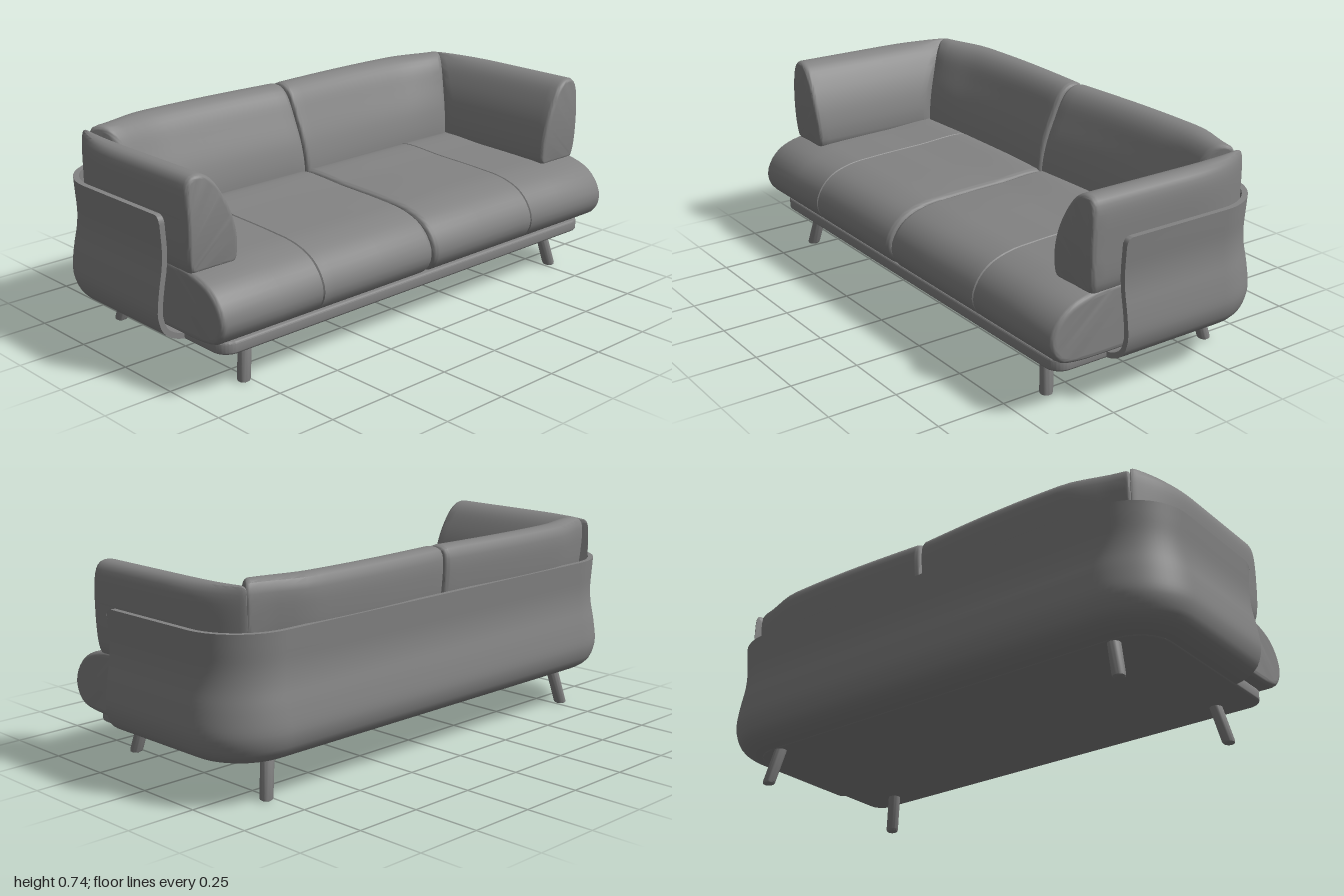
import * as THREE from 'three';
import { toCreasedNormals } from 'three/addons/utils/BufferGeometryUtils.js';

const material = new THREE.MeshStandardMaterial({ color: 0x838383 });
const V = (x, y, z) => new THREE.Vector3(x, y, z);

function part(name, geometry) {
  const mesh = new THREE.Mesh(geometry, material);
  mesh.name = name;
  return mesh;
}

// Skins a list of closed rings and caps both ends; always faces outward
function loft(rings) {
  const n = rings.length, m = rings[0].length, pts = rings.flat(), tri = [];
  const quad = (a, b, c, d) => tri.push([a, b, c], [a, c, d]);
  for (let r = 0; r < n - 1; r++)
    for (let i = 0; i < m; i++) {
      const j = (i + 1) % m;
      quad(r * m + i, r * m + j, (r + 1) * m + j, (r + 1) * m + i);
    }
  const e = (n - 1) * m;
  for (let i = 0; i < m / 2 - 1; i++) {
    quad(i, m - 1 - i, m - 2 - i, i + 1);
    quad(e + i, e + i + 1, e + m - 2 - i, e + m - 1 - i);
  }
  let volume = 0;
  const c = V(0, 0, 0);
  for (const [i, j, k] of tri) volume += pts[i].dot(c.crossVectors(pts[j], pts[k]));
  const g = new THREE.BufferGeometry().setFromPoints(pts);
  g.setIndex(tri.flatMap(t => (volume < 0 ? [t[0], t[2], t[1]] : t)));
  return toCreasedNormals(g, 0.6);
}

// Closed smooth outline with a function that shrinks it by a distance
function outline(points, count = 56) {
  const curve = new THREE.CatmullRomCurve3(points.map(p => V(p[0], p[1], 0)), true, 'centripetal');
  const p = curve.getSpacedPoints(count).slice(0, count);
  const side = Math.sign(THREE.ShapeUtils.area(p));
  return inset => p.map((q, i) => {
    const a = p[(i + count - 1) % count], b = p[(i + 1) % count];
    const dx = b.x - a.x, dy = b.y - a.y, l = Math.hypot(dx, dy) || 1;
    return [q.x - side * inset * dy / l, q.y + side * inset * dx / l];
  });
}

// Stations [position, inset] from a to b with rounded ends and a flat rim on each cap
function stations(a, b, r, steps, depth) {
  const start = [[a, depth + 0.004]], middle = [];
  for (let i = 0; i <= 5; i++) {
    const t = i / 5 * Math.PI / 2;
    start.push([a + r * (1 - Math.cos(t)), depth * (1 - Math.sin(t))]);
  }
  for (let i = 1; i < steps; i++) middle.push([a + r + (b - a - 2 * r) * i / steps, 0]);
  return [...start, ...middle, ...start.map(([p, d]) => [a + b - p, d]).reverse()];
}

// Seat cushion: side outline (z, y) run across x with a fine stitched seam
function seatCushion(s) {
  const shape = outline([[-0.25, 0.22], [-0.25, 0.4], [-0.22, 0.424], [0, 0.42], [0.2, 0.414], [0.31, 0.405], [0.39, 0.378],
    [0.437, 0.335], [0.46, 0.28], [0.452, 0.235], [0.42, 0.198], [0.36, 0.183], [0, 0.183], [-0.23, 0.19]], 72);
  const seam = [[0.516, 0], [0.518, 0.003], [0.52, 0.005], [0.522, 0.003], [0.524, 0]];
  const list = [...stations(0.003, 0.943, 0.022, 4, 0.018), ...seam].sort((a, b) => a[0] - b[0]);
  return loft(list.map(([x, d]) => shape(d).map(([z, y]) => V(s * x, y, z))));
}

// Back cushion: leaning outline (z, y), slightly bowed, mitred at the corner
function backCushion(s) {
  const shape = outline([[-0.215, 0.34], [-0.207, 0.42], [-0.225, 0.52], [-0.265, 0.62], [-0.305, 0.7], [-0.34, 0.73],
    [-0.38, 0.735], [-0.41, 0.722], [-0.419, 0.69], [-0.415, 0.6], [-0.402, 0.5], [-0.39, 0.34], [-0.3, 0.33]]);
  const squeeze = (z, k) => -0.21 + (z + 0.21) * (1 - 0.24 * k);
  return loft(stations(0, 1, 0.024, 18, 0.016).map(([t, d]) => shape(d).map(([z, y]) => {
    const end = 0.77 + (-0.22 - squeeze(z, 1)) / 1.6;
    const bow = 0.018 * Math.sin(Math.PI * t);
    return V(s * (0.003 + t * (end - 0.003)), y, squeeze(z, THREE.MathUtils.smoothstep(t, 0.72, 1)) - bow);
  })));
}

// Arm cushion: outline (x, y) run from front to back, its outer side curving in to the mitre
function armCushion(s) {
  const shape = outline([[0.762, 0.402], [0.752, 0.45], [0.766, 0.54], [0.802, 0.63], [0.85, 0.7], [0.89, 0.721],
    [0.93, 0.717], [0.948, 0.69], [0.953, 0.55], [0.946, 0.42], [0.935, 0.4], [0.85, 0.398]]);
  const narrow = (x, k) => (x > 0.86 ? 0.86 + (x - 0.86) * (1 - 0.85 * k) : x);
  return loft(stations(0, 1, 0.03, 20, 0.014).map(([t, d]) => shape(d).map(([x, y]) => {
    const zEnd = -0.22 - (narrow(x, 1) - 0.77) * 1.6;
    const zFront = 0.306 + 0.01 * Math.sin(Math.PI * THREE.MathUtils.clamp((y - 0.4) / 0.32, 0, 1));
    const k = Math.max(0, (t - 0.55) / 0.45) ** 2.5;
    return V(s * narrow(x, k), y, THREE.MathUtils.lerp(zFront, zEnd, t));
  })));
}

// Wraparound shell: bulging wall section swept round a U-shaped path
function shell() {
  const corner = 0.22, side = 0.978, back = -0.438, front = 0.2, top = 0.578, thick = 0.02;
  const wall = new THREE.SplineCurve([[-0.13, 0.136], [-0.09, 0.137], [-0.04, 0.15], [0, 0.178], [0.018, 0.22], [0.022, 0.26],
    [0.013, 0.33], [0, 0.4], [-0.004, 0.46], [0, 0.53], [0.003, top]].map(p => new THREE.Vector2(...p))).getSpacedPoints(30);
  const inner = wall.map((p, i) => {
    const a = wall[Math.max(i - 1, 0)], b = wall[Math.min(i + 1, 30)];
    const d = b.clone().sub(a).normalize();
    return new THREE.Vector2(p.x - d.y * thick, p.y + d.x * thick);
  });
  inner[30].y = top;
  const section = [...wall, ...inner.reverse()];

  // path stations: x, z, outward normal, drop of the top at the rounded front corner
  const half = [], r = 0.025;
  for (let i = 0; i <= 6; i++) {
    const t = i / 6 * Math.PI / 2;
    half.push([side, front - r * (1 - Math.cos(t)), 1, 0, r * (1 - Math.sin(t))]);
  }
  for (let i = 0; i <= 18; i++) {
    const t = i / 18 * Math.PI / 2, c = Math.cos(t), n = Math.sin(t);
    half.push([side - corner + corner * c, back + corner - corner * n, c, -n, 0]);
  }
  const path = [...half, ...half.map(([x, z, nx, nz, d]) => [-x, z, -nx, nz, d]).reverse()];
  return loft(path.map(([x, z, nx, nz, drop]) =>
    section.map(p => V(x + nx * p.x, Math.min(p.y, top - drop), z + nz * p.x))));
}

// Flat base plate with rounded corners, reaching forward under the seat
function basePlate() {
  const w = 0.89, back = -0.345, front = 0.397, rb = 0.13, rf = 0.05;
  const s = new THREE.Shape();
  s.absarc(w - rf, -front + rf, rf, -Math.PI / 2, 0);
  s.absarc(w - rb, -back - rb, rb, 0, Math.PI / 2);
  s.absarc(-w + rb, -back - rb, rb, Math.PI / 2, Math.PI);
  s.absarc(-w + rf, -front + rf, rf, Math.PI, Math.PI * 1.5);
  const g = new THREE.ExtrudeGeometry(s, { depth: 0.028, bevelSize: 0.008, bevelThickness: 0.008, bevelSegments: 3, curveSegments: 12 });
  g.rotateX(-Math.PI / 2).translate(0, 0.143, 0);
  return toCreasedNormals(g, 0.6);
}

// Round leg, sheared outward so that the foot stays flat on the floor
function leg(sx, sz) {
  const profile = [[0, 0], [0.016, 0], [0.021, 0.003], [0.023, 0.009], [0.023, 0.15], [0, 0.15]];
  const g = new THREE.LatheGeometry(profile.map(p => new THREE.Vector2(...p)), 24);
  const p = g.attributes.position;
  for (let i = 0; i < p.count; i++) {
    const k = p.getY(i) / 0.14;
    p.setX(i, p.getX(i) + sx * (0.776 - 0.03 * k));
    p.setZ(i, p.getZ(i) + sz * (0.348 - 0.025 * k));
  }
  return toCreasedNormals(g, 0.6);
}

export function createModel() {
  const sofa = new THREE.Group();
  sofa.name = 'sofa';
  sofa.add(part('shell', shell()), part('basePlate', basePlate()));
  for (const [s, side] of [[1, 'left'], [-1, 'right']]) {
    sofa.add(part(side + 'SeatCushion', seatCushion(s)));
    sofa.add(part(side + 'BackCushion', backCushion(s)));
    sofa.add(part(side + 'ArmCushion', armCushion(s)));
    sofa.add(part(side + 'FrontLeg', leg(s, 1)), part(side + 'BackLeg', leg(s, -1)));
  }
  return sofa;
}
